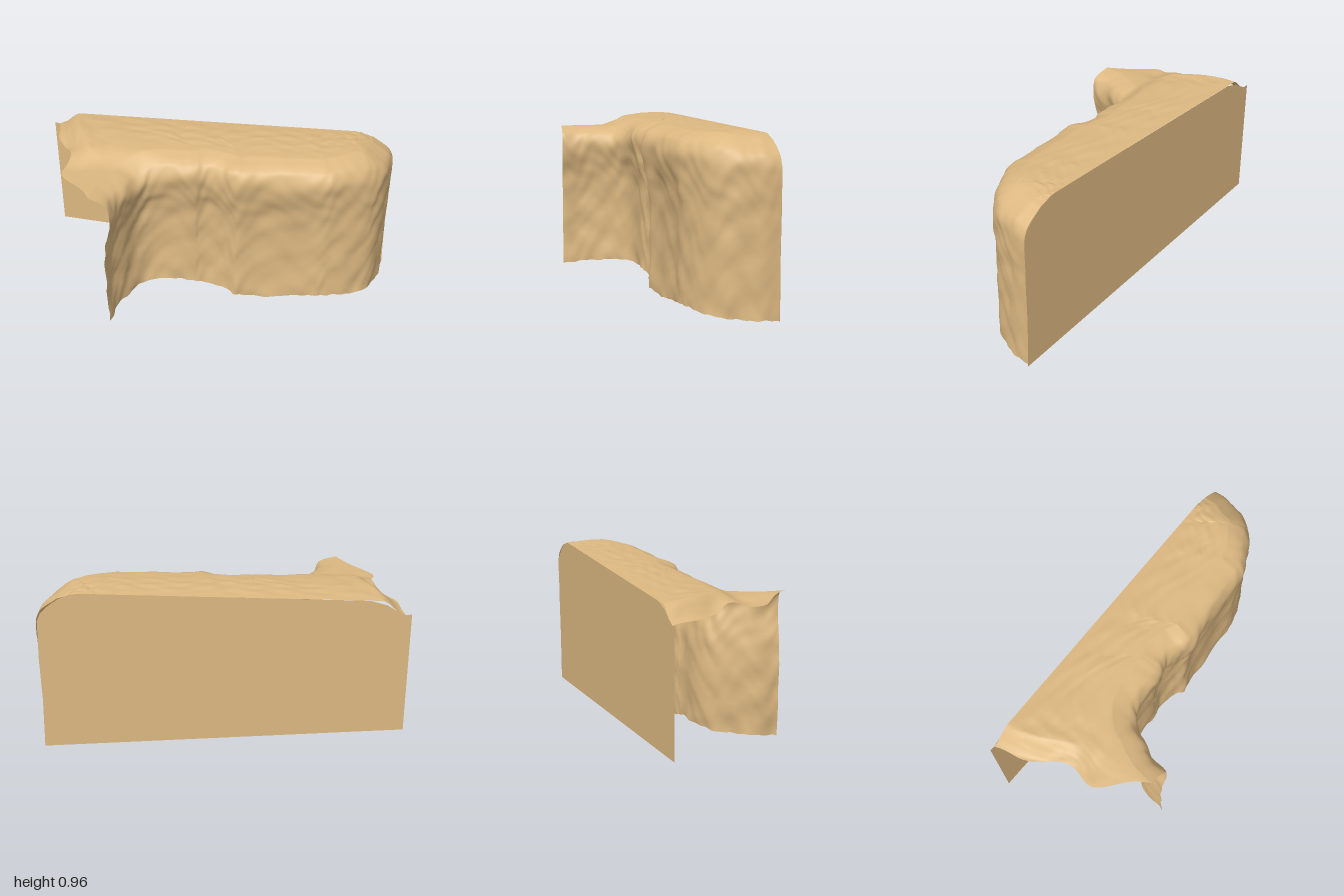
import * as THREE from 'three';

const { smoothstep, lerp, clamp } = THREE.MathUtils;

// Plan outline of the rock face: x, z, bottom y, x where its section meets the back plate
const outline = [
  [-0.51, 0.395, 0.045, -0.97], [-0.495, 0.3, 0.055, -0.95], [-0.455, 0.2, 0.065, -0.92],
  [-0.405, 0.11, 0.072, -0.88], [-0.34, 0.06, 0.08, -0.82], [-0.2, 0.05, 0.078, -0.6],
  [-0.1, 0.045, 0.07, -0.4], [-0.03, 0.025, 0.05, -0.25], [0.05, 0.05, 0.035, -0.12],
  [0.14, 0.078, 0.015, 0], [0.28, 0.058, 0.004, 0.15], [0.45, 0.052, 0.02, 0.3],
  [0.6, 0.045, 0.035, 0.42], [0.7, 0.015, 0.04, 0.52], [0.8, -0.04, 0.03, 0.6],
  [0.9, -0.1, 0.025, 0.65], [0.955, -0.2, 0.016, 0.68], [0.987, -0.3, 0.012, 0.71],
  [0.996, -0.4, 0.008, 0.74],
];

// Wall section from foot to brow: height fraction, inset from the outline
const section = [[0, 0.046], [0.3, 0.054], [0.6, 0.043], [0.76, 0.014], [0.87, 0],
  [0.94, 0.02], [0.975, 0.06], [1, 0.125]];

const bump = (v, centre, width) => Math.exp(-(((v - centre) / width) ** 2));

// Height of the rock's top: slightly domed, lower on the front spur and at both ends
function topHeight(x, z) {
  const dome = 0.953 - 0.3 * (z + 0.23) ** 2 * smoothstep(-z, -0.15, 0.1);
  const spur = smoothstep(z, -0.06, 0.09) * smoothstep(-x, 0.25, 0.42);
  const spurHeight = 0.892 - 0.018 * smoothstep(-x, 0.62, 0.84);
  const edgeX = -0.97 + 0.17 * (clamp(z + 0.4, 0, 0.4) / 0.4) ** 1.6;
  const openEnd = (1 - smoothstep(x - edgeX, 0, 0.13)) * smoothstep(-z, -0.05, 0.15);
  return lerp(dome, spurHeight, spur) - 0.08 * openEnd - 0.06 * smoothstep(x, 0.75, 1);
}

// Soft rounded lumps
function lumps(a, y) {
  return 0.005 * Math.sin(a * 2.9 + 1.2 * Math.sin(y * 5)) * Math.sin(y * 24 + 1.7 * Math.sin(a * 1.1))
    + 0.003 * Math.sin(a * 5.3 + 2 * Math.sin(y * 9)) * Math.sin(y * 41 + 2 * Math.sin(a * 2.3))
    + 0.003 * Math.sin(a * 3.7 + Math.sin(y * 7));
}

function rockGeometry() {
  const keys = outline.length - 1;
  const columns = keys * 10, wallRows = 48, topRows = 24;
  const foot = new THREE.CatmullRomCurve3(
    outline.map(([x, z, y]) => new THREE.Vector3(x, y, z)), false, 'catmullrom', 0.5);
  const profile = new THREE.SplineCurve(section.map(([h, d]) => new THREE.Vector2(d, h)));
  const positions = [], indices = [];
  const rows = wallRows + topRows;

  for (let i = 0; i <= columns; i++) {
    const u = (i / columns) * keys;
    const k = Math.min(Math.floor(u), keys - 1);
    const backX = lerp(outline[k][3], outline[k + 1][3], u - k);
    const p = foot.getPoint(i / columns);
    const t = foot.getTangent(i / columns);
    const length = Math.hypot(t.x, t.z);
    const nx = -t.z / length, nz = t.x / length;
    const straight = lerp(1, 0.12, smoothstep(u, 11, 14.5));
    const ragged = 0.004 * Math.sin(u * 7) * Math.sin(u * 2.3);
    const low = Math.max(0, p.y + ragged);
    let browX, browZ;

    for (let j = 0; j <= rows; j++) {
      let x, y, z;
      if (j <= wallRows) {
        // Wall and rounded brow
        const s = profile.getPoint(j / wallRows);
        const inset = s.y < 0.87 ? s.x * straight : s.x;
        const rough = lumps(u, s.y) * (1 - smoothstep(u, 16.5, 18) * 0.7);
        x = p.x - nx * (inset - rough);
        z = p.z - nz * (inset - rough);
        y = low + s.y * (topHeight(x, z) - low);
        browX = x;
        browZ = z;
      } else {
        // Top, running back to the plate with a flared open edge
        const f = (j - wallRows) / topRows;
        z = lerp(browZ, -0.4, f);
        x = lerp(browX, backX, f)
          - Math.exp(-u * 0.8) * (0.1 * bump(z, 0.15, 0.11) + 0.04 * bump(z, -0.22, 0.1));
        y = topHeight(x, z) + lumps(u, f) * 0.5 * Math.sin(f * Math.PI);
      }
      positions.push(clamp(x, -1, 1), y, clamp(z, -0.4, 0.4));
      if (i < columns && j < rows) {
        const a = i * (rows + 1) + j, b = a + rows + 1;
        indices.push(a, b, b + 1, a, b + 1, a + 1);
      }
    }
  }
  const geometry = new THREE.BufferGeometry();
  geometry.setAttribute('position', new THREE.Float32BufferAttribute(positions, 3));
  geometry.setIndex(indices);
  geometry.computeVertexNormals();
  return geometry;
}

function plateGeometry() {
  const corners = [[-1, 0.18], [1, 0.005], [0.992, 0.3], [0.996, 0.55], [0.99, 0.78], [0.97, 0.825],
    [0.93, 0.865], [0.87, 0.91], [0.8, 0.94], [0.74, 0.944], [-0.78, 0.943], [-0.87, 0.92],
    [-0.92, 0.89], [-0.97, 0.866], [-1, 0.872]];
  return new THREE.ShapeGeometry(new THREE.Shape(corners.map(([x, y]) => new THREE.Vector2(x, y))));
}

export function createModel() {
  const model = new THREE.Group();
  model.name = 'rockWall';
  const sandstone = new THREE.MeshStandardMaterial({ color: 0xdcb881, side: THREE.DoubleSide });
  sandstone.name = 'sandstone';

  // Open shell: front wall, side spur and top
  const rock = new THREE.Mesh(rockGeometry(), sandstone);
  rock.name = 'rockFace';

  // Flat back
  const plate = new THREE.Mesh(plateGeometry(), sandstone);
  plate.name = 'backPlate';
  plate.position.z = -0.4;

  model.add(rock, plate);
  return model;
}
